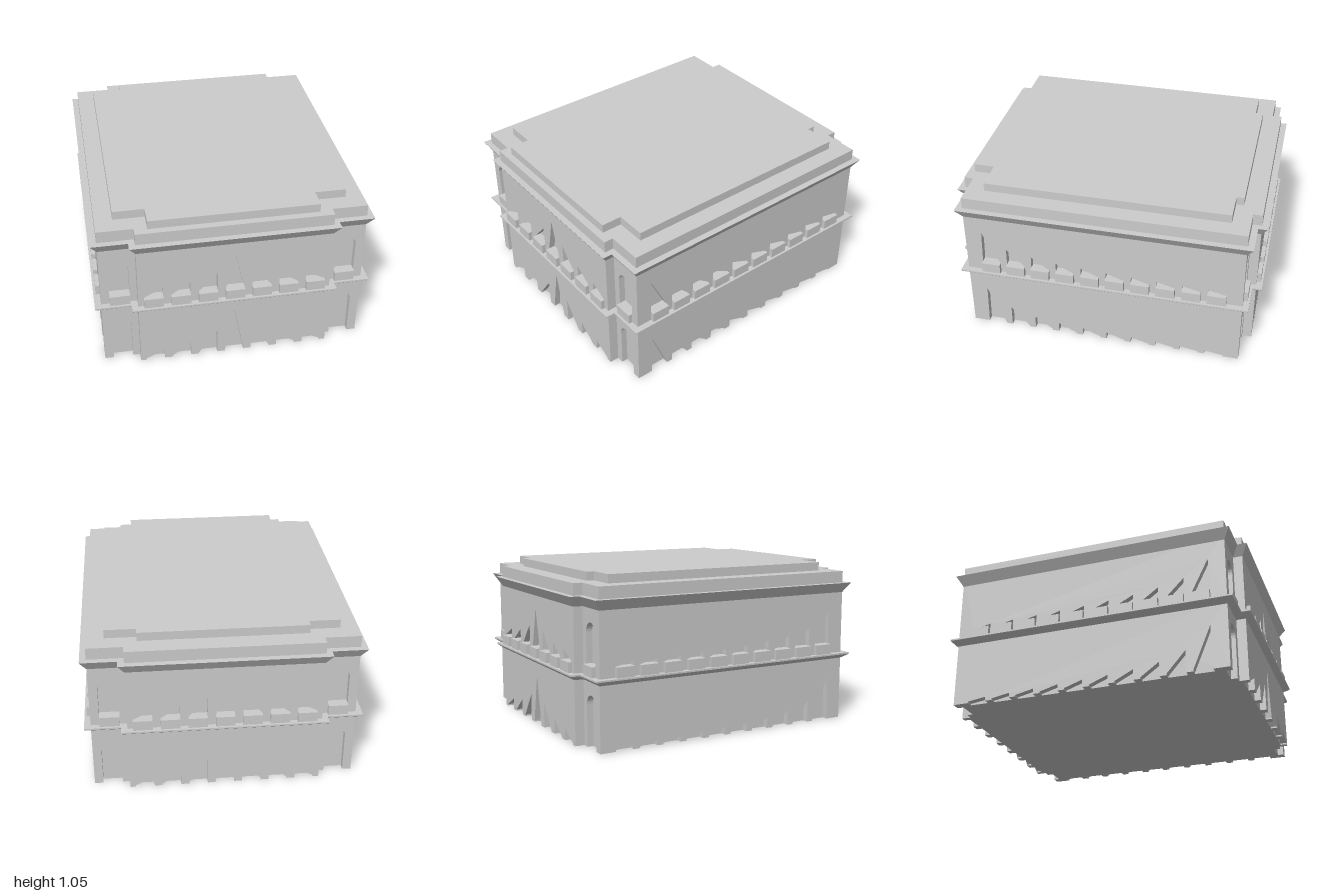
import * as THREE from 'three';

const RECESS = 0.04, SILL_OUT = 0.025, WIN = 0.12;

// Twelve corners of a rectangle with a wider middle bay at front and back.
function plan(w, d, bayW, bayFront, bayBack, o = 0) {
  w += o; d += o; bayW += o; bayFront += o; bayBack += o;
  return [[w, d], [w, -d], [bayW, -d], [bayW, -bayBack], [-bayW, -bayBack], [-bayW, -d],
    [-w, -d], [-w, d], [-bayW, d], [-bayW, bayFront], [bayW, bayFront], [bayW, d]];
}
const wallPlan = (o = 0) => plan(0.83, 0.895, 0.605, 0.955, 0.955, o);

export function createModel() {
  const group = new THREE.Group();
  const mat = new THREE.MeshStandardMaterial({ color: 0xcccccc, flatShading: true });
  const add = (name, geo, parent = group) => {
    const mesh = new THREE.Mesh(geo, mat);
    mesh.name = name;
    parent.add(mesh);
    return mesh;
  };

  // Flat slab with the given plan.
  const slab = (name, pts, y0, y1) => {
    const shape = new THREE.Shape(pts.map(([x, z]) => new THREE.Vector2(x, -z)));
    const geo = new THREE.ExtrudeGeometry(shape, { depth: y1 - y0, bevelEnabled: false });
    add(name, geo.rotateX(-Math.PI / 2).translate(0, y0, 0));
  };

  // Moulding: a profile of [offset, y] carried round the wall plan.
  const moulding = (name, profile) => {
    const pos = [];
    for (let k = 0; k < profile.length - 1; k++) {
      const lo = wallPlan(profile[k][0]), hi = wallPlan(profile[k + 1][0]);
      const y0 = profile[k][1], y1 = profile[k + 1][1];
      lo.forEach((a, i) => {
        const j = (i + 1) % lo.length, b = lo[j], c = hi[j], d = hi[i];
        pos.push(a[0], y0, a[1], b[0], y0, b[1], c[0], y1, c[1]);
        pos.push(a[0], y0, a[1], c[0], y1, c[1], d[0], y1, d[1]);
      });
    }
    const geo = new THREE.BufferGeometry();
    geo.setAttribute('position', new THREE.Float32BufferAttribute(pos, 3));
    geo.computeVertexNormals();
    add(name, geo);
  };

  // Opening outlines, left to right, above the foot of the panel.
  const pointed = (u, apexU, base, top) =>
    [[u - WIN / 2, base], [apexU, top], [u + WIN / 2, base]];
  const arched = (u, top) => {
    const r = 0.0625, pts = [];
    for (let i = 0; i <= 12; i++) {
      const a = Math.PI * (1 - i / 12);
      pts.push([u + r * Math.cos(a), top - r + r * Math.sin(a)]);
    }
    return pts;
  };

  // Wall panel whose openings are notches rising from its foot, with sills upstairs.
  const panel = (name, u0, u1, y0, y1, openings, place, sills) => {
    const g = new THREE.Group();
    g.name = name;
    const outline = [[u0, y0]];
    for (const o of openings) {
      outline.push([o[0][0], y0], ...o, [o[o.length - 1][0], y0]);
    }
    outline.push([u1, y0], [u1, y1], [u0, y1]);
    const shape = new THREE.Shape(outline.map(([x, y]) => new THREE.Vector2(x, y)));
    const geo = new THREE.ExtrudeGeometry(shape, { depth: RECESS, bevelEnabled: false });
    add('wallPanel', geo.translate(0, 0, -RECESS), g);
    if (sills) for (const o of openings) {
      const a = o[0][0], b = o[o.length - 1][0], depth = RECESS + SILL_OUT;
      add('windowSill', new THREE.BoxGeometry(b - a, 0.065, depth), g)
        .position.set((a + b) / 2, 0.4825, SILL_OUT - depth / 2);
    }
    g.rotation.y = place.angle;
    g.position.set(place.x || 0, 0, place.z || 0);
    group.add(g);
  };

  // Solid core behind the openings
  slab('core', plan(0.79, 0.855, 0.605, 0.915, 0.915), 0, 0.92);

  const floors = [
    { name: 'lower', y0: 0, y1: 0.45, base: 0.01, arch: 0.33, sills: false,
      bay: [0.325, 0.175, 0.105, 0.075],
      side: [0.285, 0.145, 0.095, 0.07, 0.057, 0.05, 0.042, 0.036, 0.031, 0.027] },
    { name: 'upper', y0: 0.45, y1: 0.92, base: 0.515, arch: 0.77, sills: true,
      bay: [0.77, 0.65, 0.595, 0.575],
      side: [0.74, 0.635, 0.6, 0.577, 0.565, 0.557, 0.551, 0.547, 0.544, 0.541] },
  ];

  for (const f of floors) {
    // Front and back: seven pointed openings, arched niches on the corner piers
    const bay = [];
    for (let i = -3; i <= 3; i++) {
      const u = i * 0.17;
      bay.push(pointed(u, u - Math.sign(i) * (WIN / 2 - 0.001), f.base, f.bay[Math.abs(i)]));
    }
    for (const s of [1, -1]) {
      const angle = s > 0 ? 0 : Math.PI, face = s > 0 ? 'Front' : 'Back';
      panel(f.name + face + 'Bay', -0.605, 0.605, f.y0, f.y1, bay, { angle, z: s * 0.955 }, f.sills);
      for (const m of [1, -1]) {
        panel(f.name + face + 'CornerPier', m > 0 ? 0.605 : -0.79, m > 0 ? 0.79 : -0.605,
          f.y0, f.y1, [arched(m * 0.7125, f.arch)], { angle, z: s * 0.895 }, f.sills);
      }
    }
    // Sides: ten openings, tallest next to the front
    for (const s of [1, -1]) {
      const openings = f.side.map((top, i) => {
        const u = -s * (0.733 - i * 0.163);
        return pointed(u, u - s * (WIN / 2 - (i ? 0.001 : 0.008)), f.base, top);
      });
      if (s < 0) openings.reverse();
      panel(f.name + (s > 0 ? 'Left' : 'Right') + 'Wall', -0.895, 0.895, f.y0, f.y1, openings,
        { angle: s * Math.PI / 2, x: s * 0.83 }, f.sills);
    }
  }

  // Ledge between floors, cornice, parapet and roof
  moulding('floorLedge', [[0, 0.41], [0.035, 0.435], [0.04, 0.44], [0.04, 0.45], [-0.04, 0.45]]);
  moulding('cornice', [[0, 0.855], [0.04, 0.92], [-0.01, 0.92]]);
  slab('parapet', wallPlan(), 0.915, 0.995);
  slab('roof', plan(0.72, 0.78, 0.525, 0.91, 0.83), 0.995, 1.05);

  return group;
}
